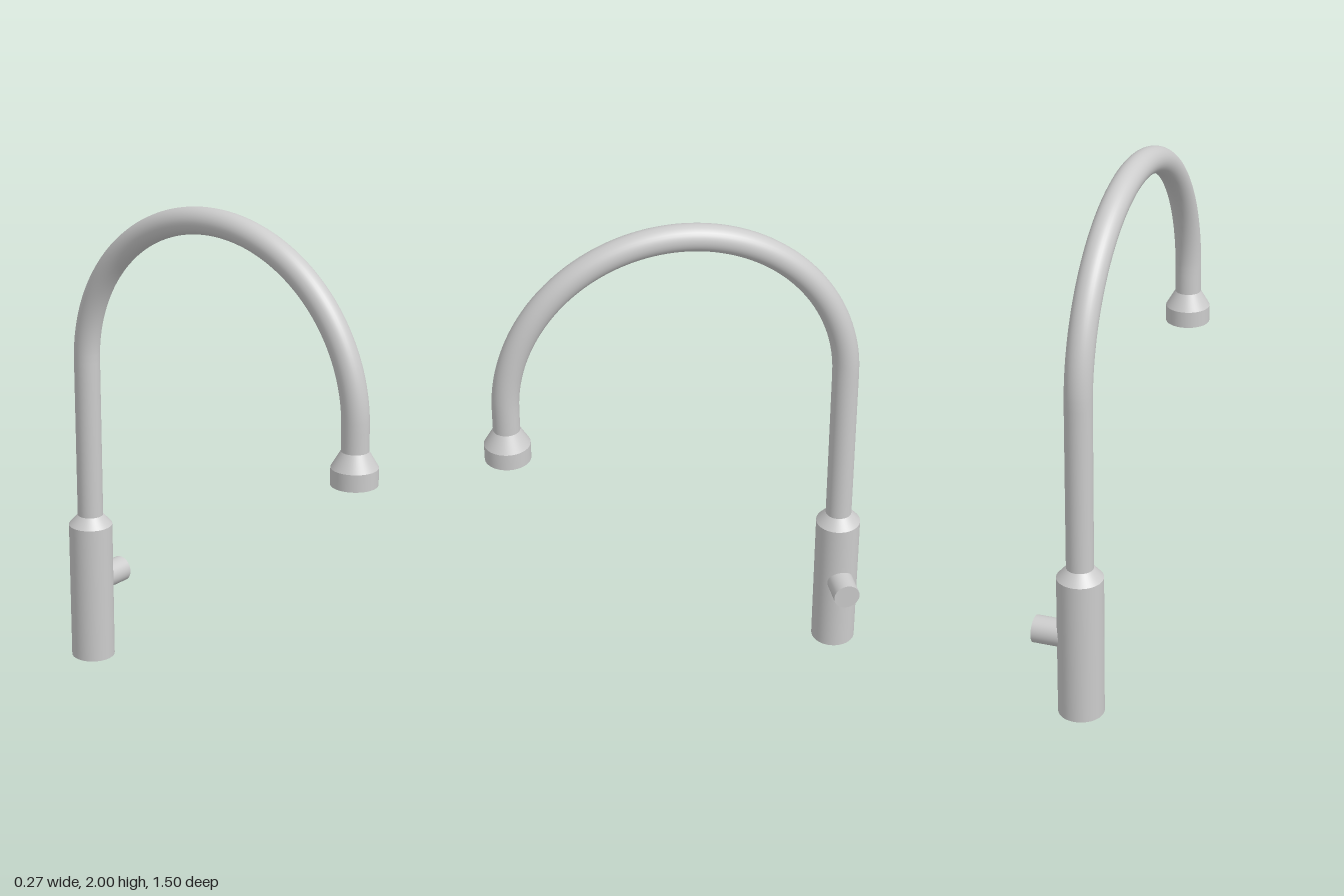
import * as THREE from 'three';

const X = -0.046, Z = 0.661;             // column axis and reach of the spout
const TUBE_R = 0.052, BODY_R = 0.089;    // pipe and body radii
const ARCH_Y = 2 - Z - TUBE_R;           // height where the arch begins

export function createModel() {
  const model = new THREE.Group();
  const material = new THREE.MeshStandardMaterial({ color: 0xcccccc, side: THREE.DoubleSide });

  function add(name, geometry, x, y, z) {
    const mesh = new THREE.Mesh(geometry, material);
    mesh.name = name;
    mesh.position.set(x, y, z);
    model.add(mesh);
    return mesh;
  }

  // Upright open section between two heights
  function section(name, z, y0, y1, r0, r1) {
    const geometry = new THREE.CylinderGeometry(r1, r0, y1 - y0, 48, 1, true);
    return add(name, geometry, X, (y0 + y1) / 2, z);
  }

  // Body, open underneath, with a sloped shoulder
  section('body', -Z, 0, 0.582, BODY_R, BODY_R);
  section('bodyShoulder', -Z, 0.582, 0.624, BODY_R, TUBE_R);

  // Swan-neck pipe: riser, half-circle arch, short drop
  const path = new THREE.CurvePath();
  const arch = [];
  for (let i = 0; i <= 48; i++) {
    const a = Math.PI * i / 48;
    arch.push(new THREE.Vector3(0, ARCH_Y + Z * Math.sin(a), -Z * Math.cos(a)));
  }
  path.add(new THREE.LineCurve3(new THREE.Vector3(0, 0.6, -Z), arch[0]));
  path.add(new THREE.CatmullRomCurve3(arch));
  path.add(new THREE.LineCurve3(arch[48], new THREE.Vector3(0, 1.19, Z)));
  add('neckPipe', new THREE.TubeGeometry(path, 160, TUBE_R, 32, false), X, 0, 0);

  // Flared spray head with a closed underside
  section('headFlare', Z, 1.137, 1.2, BODY_R, TUBE_R);
  section('headRim', Z, 1.07, 1.137, BODY_R, BODY_R);
  const face = add('headFace', new THREE.CircleGeometry(BODY_R, 48), X, 1.07, Z);
  face.rotation.x = Math.PI / 2;

  // Stub handle on the side of the body
  const handleStart = X + 0.06, handleEnd = 0.135;
  const handle = add('handle',
    new THREE.CylinderGeometry(0.053, 0.053, handleEnd - handleStart, 40),
    (handleStart + handleEnd) / 2, 0.325, -Z);
  handle.rotation.z = -Math.PI / 2;

  return model;
}
